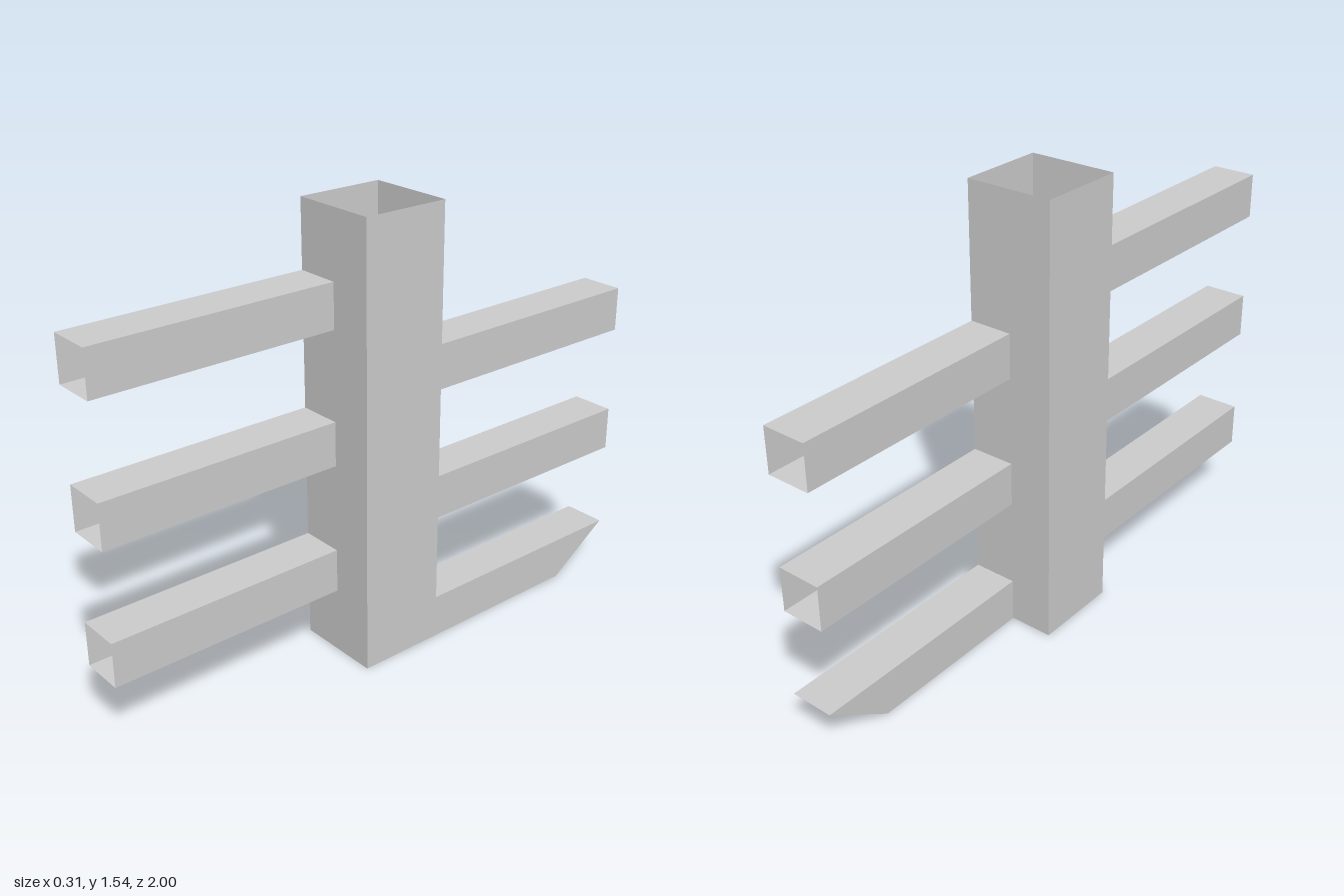
import * as THREE from 'three';

const U = 2 / 13; // side of one arm tube; everything is a multiple of it
const material = new THREE.MeshStandardMaterial({ color: 0xcccccc, side: THREE.DoubleSide });

// Thin-walled box without the listed sides (0..5 = +x, -x, +y, -y, +z, -z)
function openBox(w, h, d, openSides) {
  const geometry = new THREE.BoxGeometry(w, h, d);
  const index = Array.from(geometry.index.array);
  geometry.setIndex(index.filter((_, i) => !openSides.includes(Math.floor(i / 6))));
  geometry.clearGroups();
  return geometry;
}

function addMesh(group, name, geometry, x, y, z) {
  const mesh = new THREE.Mesh(geometry, material);
  mesh.name = name;
  mesh.position.set(x, y, z);
  group.add(mesh);
}

export function createModel() {
  const group = new THREE.Group();
  group.name = 'branchedPost';

  // Square post, open at the top
  addMesh(group, 'post', openBox(2 * U, 10 * U, 2 * U, [2]), 0, 5 * U, 0);

  // Staggered square tubes, open at the ends
  const length = 5.5 * U;
  const reach = U + length / 2;
  for (let i = 0; i < 3; i++) {
    addMesh(group, 'frontArm' + (i + 1), openBox(U, U, length, [4, 5]),
      -U / 2, (2 + 3 * i) * U, reach);

    const back = openBox(U, U, length, [4, 5]);
    if (i === 0) {
      // Lowest back arm has a slanted end: its underside is shorter
      const p = back.attributes.position;
      for (let v = 0; v < p.count; v++) {
        if (p.getY(v) < 0 && p.getZ(v) < 0) p.setZ(v, p.getZ(v) + 1.5 * U);
      }
    }
    addMesh(group, 'backArm' + (i + 1), back, U / 2, (0.5 + 3 * i) * U, -reach);
  }
  return group;
}
